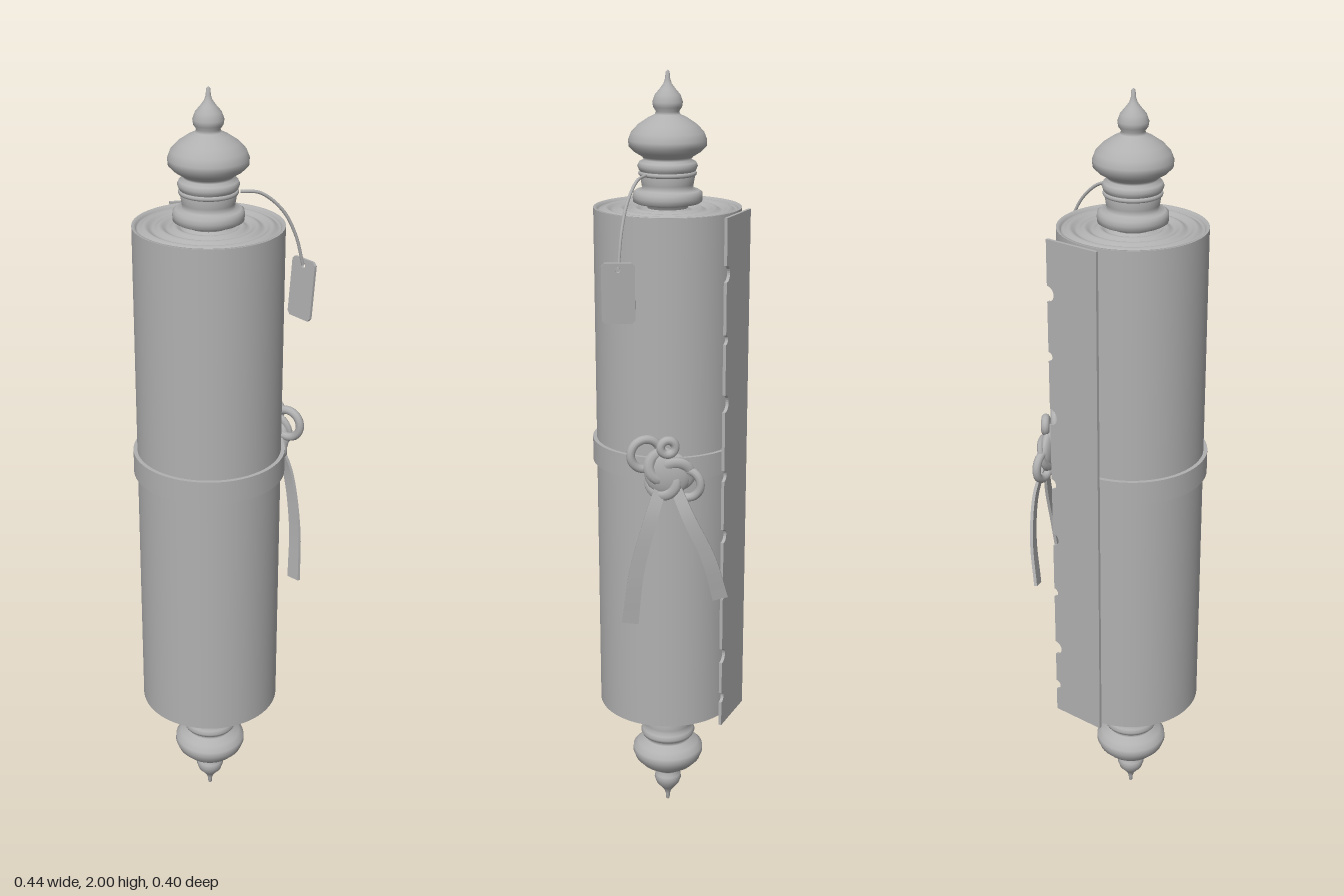
import * as THREE from 'three';

export function createModel() {
  const grey = new THREE.MeshStandardMaterial({ color: 0xb0b0b0 });
  const root = new THREE.Group();
  root.name = 'scroll';
  const CX = -0.028, CZ = 0.003, TOP = 1.675, BOTTOM = 0.333, R = 0.183;

  const add = (name, geometry, x = 0, y = 0, z = 0, parent = root) => {
    const mesh = new THREE.Mesh(geometry, grey);
    mesh.name = name;
    mesh.position.set(x, y, z);
    parent.add(mesh);
    return mesh;
  };
  const lathe = (pts, seg = 64) =>
    new THREE.LatheGeometry(pts.map(([r, y]) => new THREE.Vector2(r, y)), seg);
  const curve = (pts) =>
    new THREE.CatmullRomCurve3(pts.map((p) => new THREE.Vector3(...p)));

  // Flat strap following a path, its broad face turned towards +x
  const ribbon = (pts, width, thick) => {
    const path = curve(pts);
    const geo = new THREE.BoxGeometry(1, 1, 1, 1, 24, 1);
    const pos = geo.attributes.position;
    const out = new THREE.Vector3(1, 0, 0);
    for (let i = 0; i < pos.count; i++) {
      const t = Math.min(1, Math.max(0, pos.getY(i) + 0.5));
      const tan = path.getTangent(t);
      const side = tan.clone().cross(out).normalize();
      const face = side.clone().cross(tan);
      const p = path.getPoint(t)
        .addScaledVector(side, pos.getX(i) * width * (0.75 + 0.35 * t))
        .addScaledVector(face, pos.getZ(i) * thick);
      pos.setXYZ(i, p.x, p.y, p.z);
    }
    geo.computeVertexNormals();
    return geo;
  };

  // Rolled sheet with rippled ends
  add('rollSide', lathe([[R, BOTTOM], [R, TOP]], 96), CX, 0, CZ);
  const rings = [[R, 0], [0.176, 0], [0.173, -0.006]];
  for (let r = 0.17; r > 0.03; r -= 0.004) {
    rings.push([r, -0.005 + 0.004 * Math.cos((r - 0.152) * Math.PI * 2 / 0.036)]);
  }
  const endGeo = lathe(rings, 96);
  add('rollTop', endGeo, CX, TOP, CZ);
  add('rollBottom', endGeo, CX, BOTTOM, CZ).rotation.x = Math.PI;

  // Turned handles, the lower one mirrored
  const handleGeo = lathe([
    [0.05, 1.655], [0.05, 1.684], [0.078, 1.684], [0.085, 1.688], [0.086, 1.699],
    [0.085, 1.71], [0.078, 1.715], [0.062, 1.716], [0.064, 1.73], [0.067, 1.748],
    [0.063, 1.756], [0.07, 1.764], [0.074, 1.774], [0.07, 1.783], [0.058, 1.789],
    [0.062, 1.796], [0.082, 1.808], [0.095, 1.821], [0.096, 1.836], [0.089, 1.854],
    [0.072, 1.872], [0.048, 1.888], [0.031, 1.896], [0.028, 1.903], [0.035, 1.913],
    [0.037, 1.925], [0.031, 1.942], [0.019, 1.956], [0.01, 1.968], [0.006, 1.98],
    [0.005, 1.995], [0, 2],
  ]);
  add('upperHandle', handleGeo, CX, 0, CZ);
  add('lowerHandle', handleGeo, CX, 2, CZ).rotation.x = Math.PI;

  // Strap around the middle
  add('strap', lathe([[R - 0.002, 1.024], [0.193, 1.024], [0.193, 1.024], [0.193, 1.085],
    [0.193, 1.085], [R - 0.002, 1.085]], 96), CX, 0, CZ);

  // Loose flap of the sheet with a nicked outer edge
  const L = 0.148, H = TOP - BOTTOM;
  const flap = new THREE.Shape();
  flap.moveTo(0, 0);
  flap.lineTo(L, 0);
  const nicks = [[0.06, 0.014], [0.15, 0.02], [0.28, 0.012], [0.4, 0.018], [0.52, 0.014],
    [0.66, 0.022], [0.78, 0.012], [0.9, 0.02]];
  for (const [f, r] of nicks) {
    flap.lineTo(L, f * H - r);
    flap.absarc(L, f * H, r, -Math.PI / 2, Math.PI / 2, true);
  }
  flap.lineTo(L, H);
  flap.lineTo(0, H);
  add('flap', new THREE.ExtrudeGeometry(flap, { depth: 0.008, bevelEnabled: false, curveSegments: 6 }),
    0.011, BOTTOM, -0.2).rotation.y = -0.418;

  // Knot with loops and two hanging tails
  const knot = new THREE.Group();
  knot.name = 'knot';
  root.add(knot);
  const core = add('knotCore', new THREE.SphereGeometry(0.058, 24, 16), 0.192, 1.055, 0, knot);
  core.scale.set(0.35, 1, 1);
  const wrap = add('knotWrap', new THREE.TorusKnotGeometry(0.038, 0.014, 80, 8, 2, 3), 0.195, 1.055, 0.002, knot);
  wrap.rotation.y = Math.PI / 2;
  wrap.scale.set(1, 1, 0.6);
  const loops = [[0.192, 1.105, 0.055, 0.038, 0.3], [0.195, 1.03, -0.045, 0.036, -0.25],
    [0.2, 1.125, 0.0, 0.018, 0.2]];
  for (const [x, y, z, r, tilt] of loops) {
    add('knotLoop', new THREE.TorusGeometry(r, 0.011, 10, 32), x, y, z, knot)
      .rotation.y = Math.PI / 2 + tilt;
  }
  add('frontTail', ribbon([[0.195, 1.03, 0.015], [0.212, 0.95, 0.04], [0.207, 0.8, 0.078],
    [0.192, 0.652, 0.096]], 0.038, 0.008), 0, 0, 0, knot);
  add('backTail', ribbon([[0.195, 1.03, -0.015], [0.216, 0.95, -0.05], [0.212, 0.84, -0.1],
    [0.194, 0.722, -0.132]], 0.036, 0.008), 0, 0, 0, knot);

  // Tag hanging on a cord tied to the upper handle
  const tie = add('cordTie', new THREE.TorusGeometry(0.066, 0.006, 8, 48), CX, 1.756, CZ);
  tie.rotation.x = Math.PI / 2;
  add('cord', new THREE.TubeGeometry(curve([[0.025, 1.757, 0.055], [0.07, 1.75, 0.075],
    [0.12, 1.705, 0.097], [0.153, 1.64, 0.11], [0.174, 1.56, 0.117]]), 32, 0.004, 8));
  const w = 0.04, h = 0.075, c = 0.008;
  const tag = new THREE.Shape([[-w + c, -h], [w - c, -h], [w, -h + c], [w, h - c], [w - c, h],
    [-w + c, h], [-w, h - c], [-w, -h + c]].map(([x, y]) => new THREE.Vector2(x, y)));
  const hole = new THREE.Path();
  hole.absarc(0, h - 0.016, 0.007, 0, Math.PI * 2, true);
  tag.holes.push(hole);
  const tagGeo = new THREE.ExtrudeGeometry(tag, { depth: 0.007, bevelEnabled: false });
  tagGeo.translate(0, 0, -0.0035);
  tagGeo.rotateY(Math.PI / 2);
  add('tag', tagGeo, 0.172, 1.5, 0.118).rotation.z = -0.09;

  return root;
}
